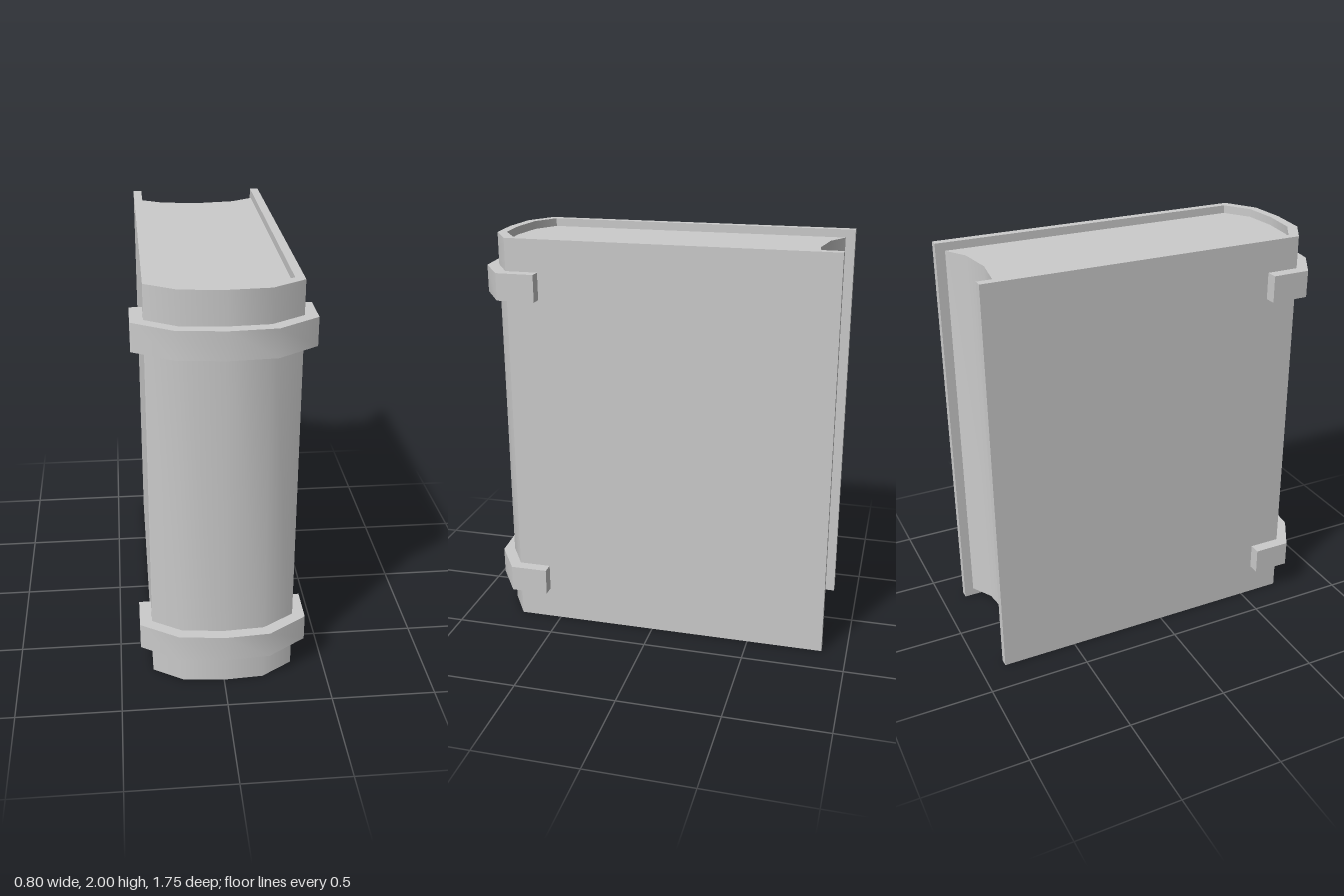
import * as THREE from 'three';
import { toCreasedNormals } from 'three/addons/utils/BufferGeometryUtils.js';

const material = new THREE.MeshStandardMaterial({ color: 0xcccccc });

// Extrudes a plan outline of [x, z] points from height y0 up to y1
function prism(name, outline, y0, y1) {
  const shape = new THREE.Shape(outline.map(([x, z]) => new THREE.Vector2(x, z)));
  const geometry = new THREE.ExtrudeGeometry(shape, { depth: y1 - y0, bevelEnabled: false });
  geometry.rotateX(Math.PI / 2).translate(0, y1, 0);
  const mesh = new THREE.Mesh(toCreasedNormals(geometry, 0.75), material);
  mesh.name = name;
  return mesh;
}

// Faceted spine curves, from the left board (+x) round to the right one
const spineOuter = [[0.342, 0.713], [0.19, 0.808], [0, 0.82], [-0.2, 0.8], [-0.342, 0.713]];
const spineInner = [[0.3, 0.682], [0.175, 0.765], [0, 0.776], [-0.18, 0.755], [-0.3, 0.682]];
const bandOuter = [[0.4, 0.74], [0.215, 0.86], [0, 0.875], [-0.22, 0.85], [-0.4, 0.74]];
const foreEdge = [[-0.3, -0.83], [-0.19, -0.768], [0, -0.741], [0.19, -0.765], [0.3, -0.83]];

// Closes an outer and an inner curve into a U whose legs end at z = back
function uOutline(outer, inner, back) {
  const ends = (curve) => [[curve[0][0], back], ...curve, [curve[4][0], back]];
  return [...ends(outer), ...ends(inner).reverse()];
}

export function createModel() {
  const book = new THREE.Group();
  book.name = 'book';

  // Boards and rounded spine in one folded cover
  book.add(prism('cover', uOutline(spineOuter, spineInner, -0.877), 0, 2));

  // Page block, set in at head and tail, with a hollow fore-edge
  book.add(prism('pages', [...spineInner, ...foreEdge], 0.04, 1.96));

  // Raised bands wrapping the spine
  const bandOutline = uOutline(bandOuter, spineOuter, 0.553);
  book.add(prism('lowerBand', bandOutline, 0.163, 0.295));
  book.add(prism('upperBand', bandOutline, 1.71, 1.842));

  return book;
}
